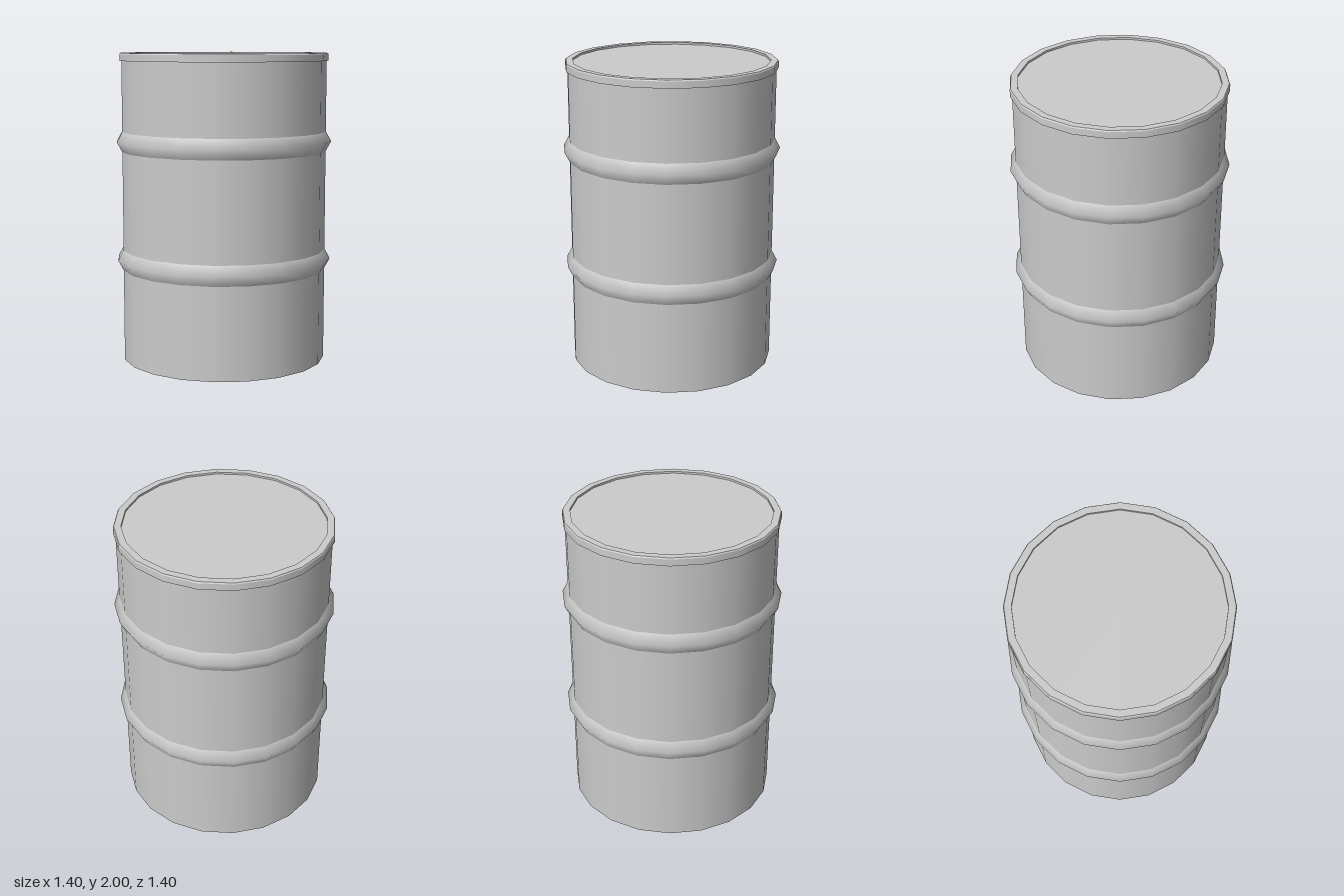
import * as THREE from 'three';

const SIDES = 20;
const RADIUS = 0.665;

export function createModel() {
  const group = new THREE.Group();
  const material = new THREE.MeshStandardMaterial({ color: 0xcccccc });

  // Revolve a profile; listed bottom-up on the outside, then inwards on top
  const revolve = (name, points, parent = group) => {
    const profile = points.map(([r, y]) => new THREE.Vector2(r, y));
    const mesh = new THREE.Mesh(new THREE.LatheGeometry(profile, SIDES), material);
    mesh.name = name;
    parent.add(mesh);
  };

  // Straight wall and flat base
  revolve('drumWall', [[RADIUS, 0], [RADIUS, 1.95]]);
  revolve('drumBase', [[0, 0], [RADIUS, 0]]);

  // Rolling hoops, softly shaded over their ridge
  for (const [name, y] of [['lowerHoop', 0.662], ['upperHoop', 1.432]]) {
    revolve(name, [[RADIUS, y - 0.065], [0.7, y], [RADIUS, y + 0.065]]);
  }

  // Rim: each band is its own surface so its edges stay sharp
  const rim = new THREE.Group();
  rim.name = 'rim';
  group.add(rim);
  const rimProfile = [
    [RADIUS, 1.95], [0.677, 1.95], [0.677, 1.992], [0.672, 2], [0.628, 2], [0.628, 1.987],
  ];
  const bands = ['rimUnderside', 'rimOuterBand', 'rimBevel', 'rimTop', 'rimInnerWall'];
  bands.forEach((name, i) => revolve(name, [rimProfile[i], rimProfile[i + 1]], rim));

  // Slightly sunken lid
  revolve('lid', [[0.628, 1.987], [0, 1.987]]);

  return group;
}
